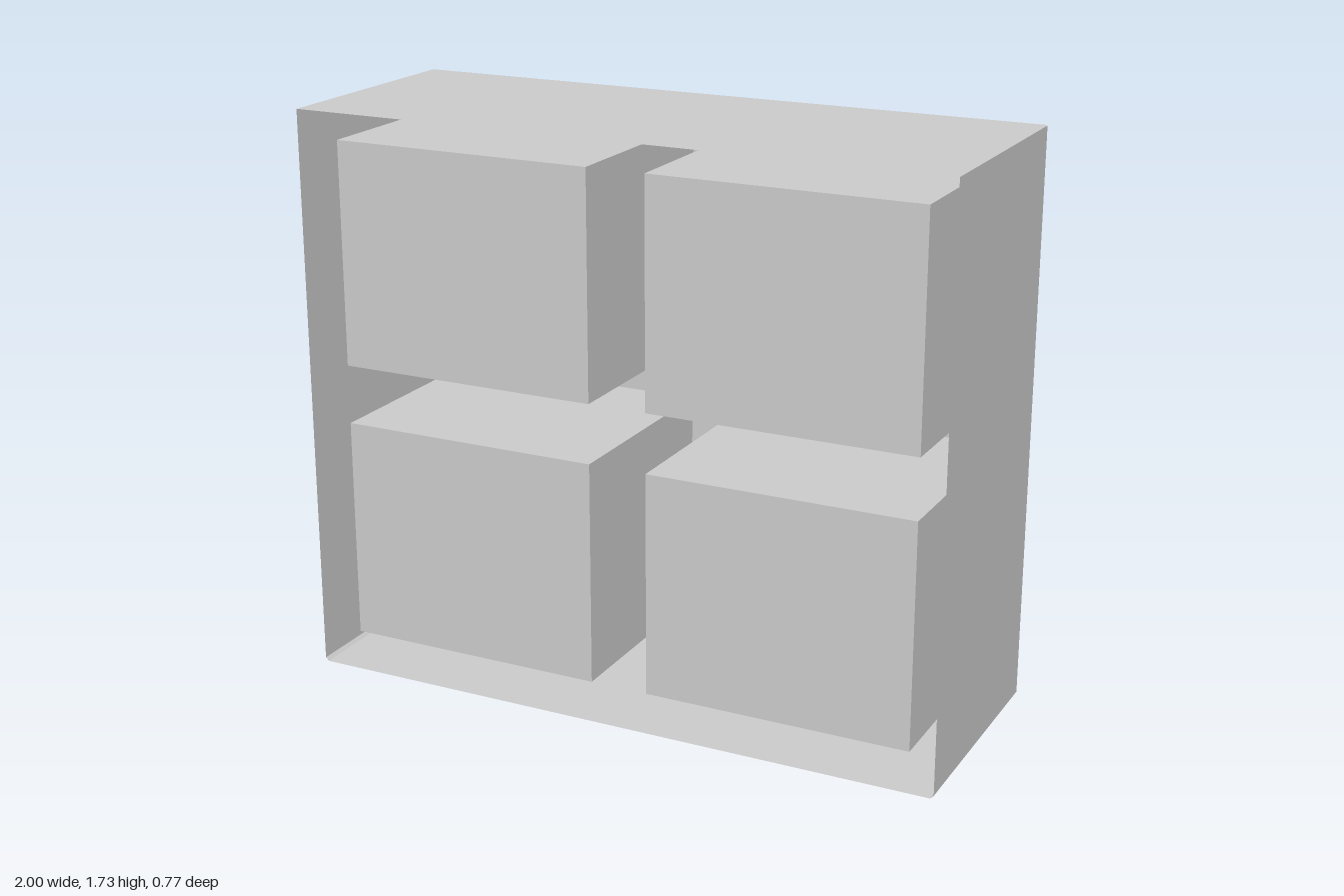
import * as THREE from 'three';

const grey = new THREE.MeshStandardMaterial({ color: 0xcccccc, side: THREE.DoubleSide, flatShading: true });
const smooth = new THREE.MeshStandardMaterial({ color: 0xcccccc, side: THREE.DoubleSide });

const W = 0.815, H = 0.682;          // size of one cupboard opening
const FACE = -0.345;                 // plane of the face frame
const BACK = 0.387;                  // open rear of the carcass
const centresX = [-0.4975, 0.4975], centresY = [0.437, 1.3];

function mesh(name, geometry, material = grey) {
  const m = new THREE.Mesh(geometry, material);
  m.name = name;
  return m;
}

// Joins counter-clockwise rings running towards -z; capStart / capEnd close the ends
function loft(rings, { capStart = false, capEnd = false } = {}) {
  const pos = [];
  const tri = (...pts) => pts.forEach(p => pos.push(...p));
  const n = rings[0].length;
  for (let r = 0; r + 1 < rings.length; r++) {
    const a = rings[r], b = rings[r + 1];
    for (let i = 0; i < n; i++) {
      const j = (i + 1) % n;
      tri(a[i], b[i], a[j]);
      tri(a[j], b[i], b[j]);
    }
  }
  const first = rings[0], last = rings[rings.length - 1];
  for (let i = 1; i + 1 < n; i++) {
    if (capStart) tri(first[0], first[i], first[i + 1]);
    if (capEnd) tri(last[0], last[i + 1], last[i]);
  }
  const g = new THREE.BufferGeometry();
  g.setAttribute('position', new THREE.Float32BufferAttribute(pos, 3));
  g.computeVertexNormals();
  return g;
}

const rect = (w, h, z) => [[-w / 2, -h / 2, z], [w / 2, -h / 2, z], [w / 2, h / 2, z], [-w / 2, h / 2, z]];

// Carcass outline: small chamfer on the bottom corners, plain top
function outline(inset, z) {
  const x = 1 - inset, c = 0.01;
  return [[-x + c, inset, z], [x - c, inset, z], [x, inset + c, z], [x, 1.733, z], [-x, 1.733, z], [-x, inset + c, z]];
}

// Flat front board with an opening for each cupboard
function faceFrame() {
  const shape = new THREE.Shape(outline(0.008, 0).map(p => new THREE.Vector2(p[0], p[1])));
  for (const x of centresX) for (const y of centresY) {
    const hole = rect(W - 0.01, H - 0.01, 0).map(p => new THREE.Vector2(p[0] + x, p[1] + y));
    shape.holes.push(new THREE.Path(hole.reverse()));
  }
  const g = new THREE.ShapeGeometry(shape);
  g.rotateY(Math.PI);                // symmetric in x, so this only turns it to face -z
  g.translate(0, 0, FACE);
  return g;
}

// Raised-panel door: [inset in x, inset in y, z] from rim to centre field
function doorGeometry() {
  const profile = [
    [0, 0, FACE], [0, 0, -0.354], [0.05, 0.05, -0.355],
    [0.075, 0.085, -0.33], [0.083, 0.095, -0.33], [0.104, 0.14, -0.36],
  ];
  return loft(profile.map(([ix, iy, z]) => rect(W / 2 - 2 * ix, H - 2 * iy, z)), { capEnd: true });
}

// Flared knob turned around the z axis
function knobGeometry() {
  const pts = [[0.009, 0], [0.007, 0.008], [0.009, 0.014], [0.017, 0.026], [0.017, 0.03], [0.012, 0.033], [0, 0.034]];
  const g = new THREE.LatheGeometry(pts.map(p => new THREE.Vector2(...p)), 16);
  g.rotateX(-Math.PI / 2);
  return g;
}

export function createModel() {
  const model = new THREE.Group();
  model.name = 'cabinet';

  // Outer shell, open at the rear, with an eased front edge
  model.add(mesh('carcass', loft([outline(0, BACK), outline(0, -0.337), outline(0.008, FACE)])));
  model.add(mesh('faceFrame', faceFrame()));

  const compartment = loft([rect(W, H, 0.33), rect(W, H, FACE)], { capStart: true });
  const door = doorGeometry();
  const knob = knobGeometry();
  const hinge = new THREE.BoxGeometry(0.02, 0.098, 0.011);

  for (const x of centresX) for (const y of centresY) {
    const cupboard = new THREE.Group();
    cupboard.name = 'cupboard';
    cupboard.position.set(x, y, 0);
    cupboard.add(mesh('compartment', compartment));

    for (const side of [-1, 1]) {
      const d = mesh('door', door);
      d.position.x = side * W / 4;
      cupboard.add(d);

      const k = mesh('knob', knob, smooth);
      k.position.set(side * 0.034, 0, -0.353);
      cupboard.add(k);

      for (const end of [-1, 1]) {
        const h = mesh('hinge', hinge);
        h.position.set(side * (W / 2 + 0.01), end * 0.246, FACE - 0.0045);
        cupboard.add(h);
      }
    }
    model.add(cupboard);
  }
  return model;
}
